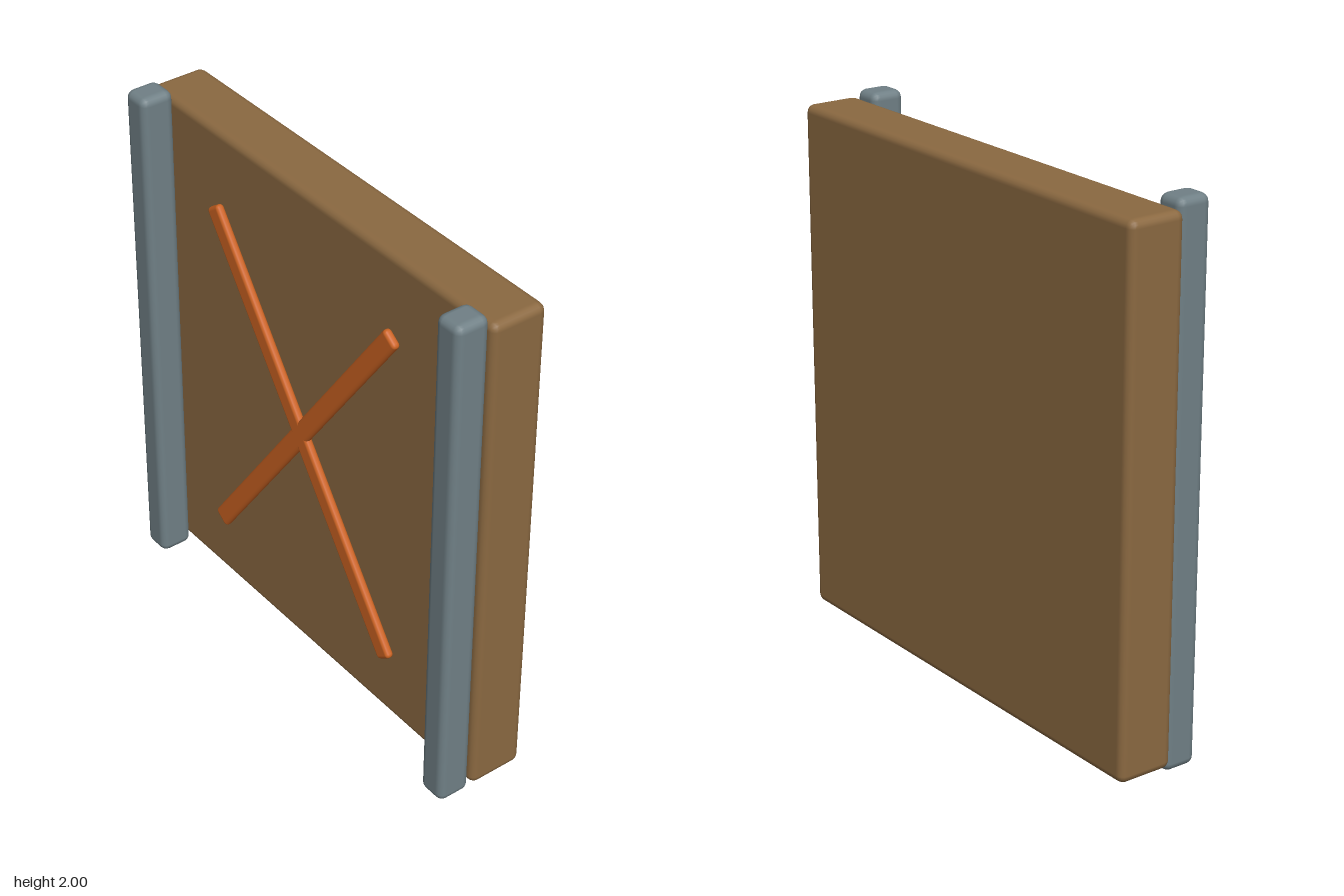
import * as THREE from 'three';
import { RoundedBoxGeometry } from 'three/addons/geometries/RoundedBoxGeometry.js';

export function createModel() {
  const model = new THREE.Group();
  const wood = new THREE.MeshStandardMaterial({ color: 0x8b6941 });
  wood.name = 'brown wood';
  const steel = new THREE.MeshStandardMaterial({ color: 0x708086 });
  steel.name = 'grey steel';
  const orange = new THREE.MeshStandardMaterial({ color: 0xcc6322 });
  orange.name = 'orange paint';

  // Softly rounded block, centred at the given position
  function block(name, size, radius, material, x, y, z) {
    const mesh = new THREE.Mesh(new RoundedBoxGeometry(...size, 2, radius), material);
    mesh.name = name;
    mesh.position.set(x, y, z);
    model.add(mesh);
    return mesh;
  }

  // Main board
  block('panel', [1.84, 1.94, 0.217], 0.03, wood, 0, 1, -0.0615);

  // Mirrored posts and crossed bars
  for (const side of [-1, 1]) {
    const label = side > 0 ? 'left' : 'right';
    block(label + 'Post', [0.115, 2, 0.13], 0.03, steel, side * 0.842, 1, 0.105);
    const bar = block(label + 'CrossBar', [1.68, 0.075, 0.032], 0.0145, orange, 0, 1.024, 0.09);
    bar.rotation.z = side * THREE.MathUtils.degToRad(54.5);
  }
  return model;
}
